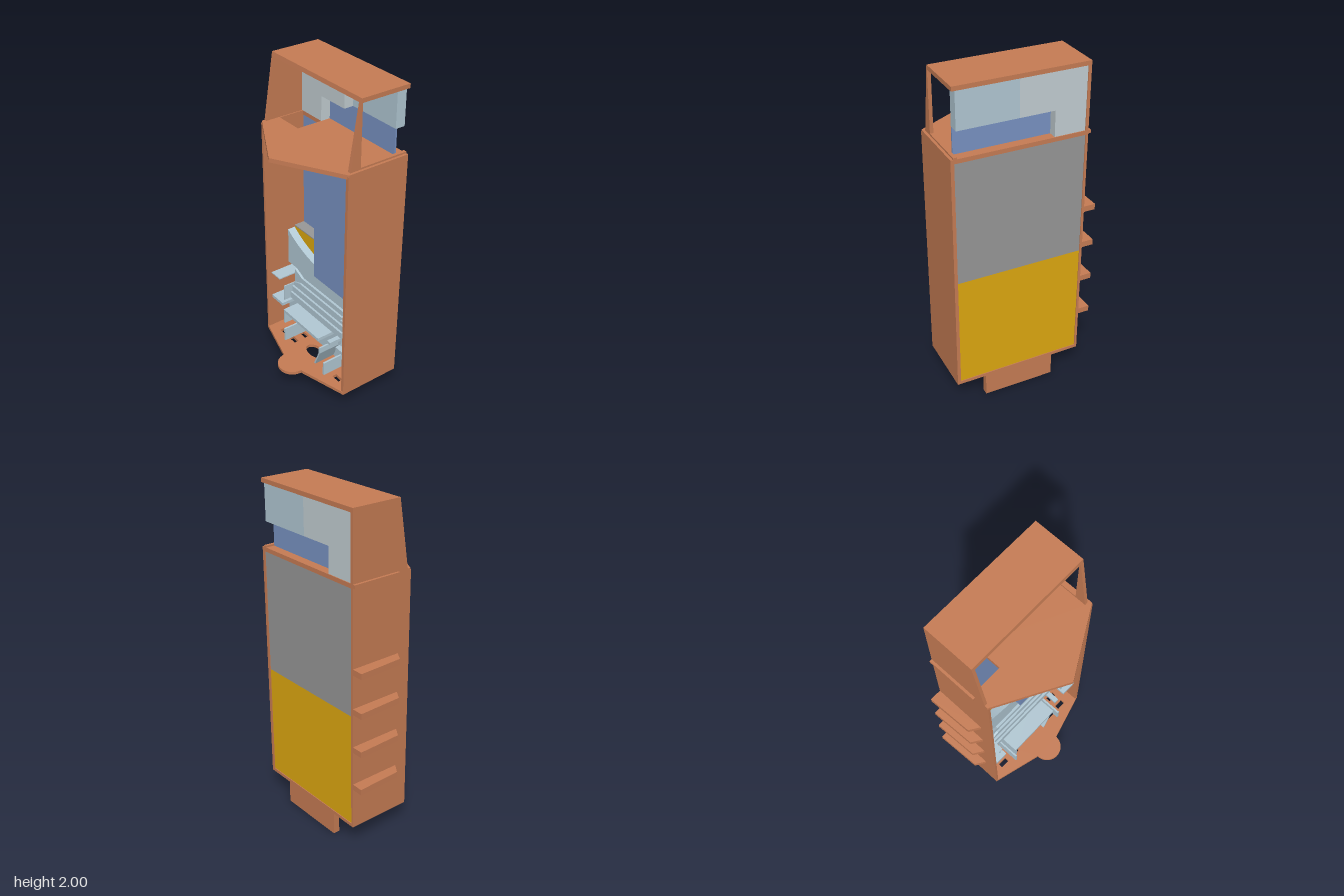
import * as THREE from 'three';

const mats = {};
const mat = (c) => (mats[c] ??= new THREE.MeshStandardMaterial({ color: c }));
const ORANGE = 0xc87d55, BLUE = 0x7a94c4, PALE = 0xb3cad6, MIST = 0xc5d0d4;
const YELLOW = 0xe0aa10, GREY = 0x999999, DARK = 0x707070;

const polygon = (pts) => new THREE.Shape(pts.map(([u, v]) => new THREE.Vector2(u, v)));
const rectangle = (x0, x1, y0, y1) => polygon([[x0, y0], [x1, y0], [x1, y1], [x0, y1]]);
const extrude = (shape, depth) =>
  new THREE.ExtrudeGeometry(shape, { depth, bevelEnabled: false, curveSegments: 20 });

export function createModel() {
  const model = new THREE.Group();
  const add = (name, color, geometry) => {
    const mesh = new THREE.Mesh(geometry, mat(color));
    mesh.name = name;
    model.add(mesh);
  };
  // box given by its limits on each axis
  const box = (name, color, x0, x1, y0, y1, z0, z1) =>
    add(name, color, new THREE.BoxGeometry(x1 - x0, y1 - y0, z1 - z0)
      .translate((x0 + x1) / 2, (y0 + y1) / 2, (z0 + z1) / 2));
  // upright plate, outline in x,y
  const front = (name, color, shape, z0, z1) =>
    add(name, color, extrude(shape, z1 - z0).translate(0, 0, z0));
  // level plate, outline in x,z
  const level = (name, color, shape, y0, y1) =>
    add(name, color, extrude(shape, y1 - y0).rotateX(Math.PI / 2).translate(0, y1, 0));
  // side plate, outline in z,y
  const side = (name, color, shape, x0, x1) =>
    add(name, color, extrude(shape, x1 - x0).rotateY(-Math.PI / 2).translate(x1, 0, 0));

  // case walls and rear foot
  box('rightWall', ORANGE, -0.36, -0.345, 0.14, 1.6, -0.305, 0.09);
  box('leftWall', ORANGE, 0.41, 0.43, 0.14, 1.6, -0.305, 0.09);
  box('rearFoot', ORANGE, -0.185, 0.25, 0, 0.14, -0.305, -0.265);

  // floor with rounded front tab, oval opening and slots
  const floor = new THREE.Shape();
  floor.moveTo(-0.36, -0.305);
  floor.lineTo(0.43, -0.305);
  floor.lineTo(0.43, 0.09);
  floor.lineTo(0.125, 0.175);
  floor.absarc(0.035, 0.175, 0.09, 0, Math.PI, false);
  floor.lineTo(-0.36, 0.09);
  floor.holes.push(new THREE.Path().absellipse(0.035, 0, 0.075, 0.045, 0, Math.PI * 2, true));
  for (const x of [-0.24, -0.14, 0.21, 0.31])
    for (const z of [-0.04, 0.04]) floor.holes.push(rectangle(x - 0.03, x + 0.03, z - 0.015, z + 0.015));
  level('floor', ORANGE, floor, 0.14, 0.16);

  // pointed canopy with an opening into the head
  const canopy = polygon([[-0.36, -0.305], [0.43, -0.305], [0.43, 0.085], [0.035, 0.305], [-0.36, 0.085]]);
  canopy.holes.push(rectangle(-0.335, -0.16, -0.18, -0.02));
  level('canopy', ORANGE, canopy, 1.585, 1.61);
  box('canopyLedge', ORANGE, -0.375, -0.36, 1.59, 1.61, -0.305, 0);

  // side shelves
  for (const y of [0.395, 0.635, 0.87, 1.105])
    level('sideShelf', ORANGE,
      polygon([[-0.36, -0.305], [-0.43, -0.305], [-0.42, -0.03], [-0.36, 0.01]]), y, y + 0.035);

  // head: roof, solid right cheek, open left cheek
  side('headRoof', ORANGE, polygon([[-0.305, 1.975], [0.009, 1.975], [0.005, 2], [-0.305, 2]]), -0.36, 0.415);
  side('headRightCheek', ORANGE,
    polygon([[-0.305, 1.61], [0.067, 1.61], [0.009, 1.975], [-0.305, 1.975]]), -0.36, -0.342);
  side('headLeftPost', ORANGE, polygon([[-0.305, 1.61], [0.067, 1.61], [0.009, 1.975],
    [0, 1.975], [0, 1.62], [-0.305, 1.62]]), 0.395, 0.415);

  // head back: stepped block, upper block and recessed sheet
  front('headSteppedBlock', MIST, polygon([[-0.342, 1.61], [-0.16, 1.61], [-0.16, 1.76],
    [0.045, 1.76], [0.045, 1.975], [-0.342, 1.975]]), -0.3, -0.18);
  box('headUpperBlock', PALE, 0.045, 0.395, 1.76, 1.975, -0.3, -0.24);
  box('headSheet', BLUE, -0.16, 0.395, 1.61, 1.76, -0.25, -0.24);

  // back panels and the blocks behind the front
  box('upperBackPanel', GREY, -0.345, 0.41, 0.85, 1.585, -0.3, -0.21);
  box('lowerCore', YELLOW, -0.345, 0.41, 0.16, 0.85, -0.3, -0.12);
  box('upperRightPanel', BLUE, -0.345, -0.01, 0.85, 1.585, -0.21, -0.19);
  box('upperLeftBlock', BLUE, -0.01, 0.41, 0.7, 1.585, -0.21, -0.02);
  box('handle', DARK, -0.075, -0.01, 1.33, 1.52, -0.19, -0.1);
  box('coreLedge', GREY, -0.345, -0.01, 0.848, 0.855, -0.19, -0.12);
  box('coreRib', YELLOW, -0.09, -0.01, 0.7, 0.85, -0.12, -0.11);

  // lower front panel with curved top and a side window at each edge
  const panel = new THREE.Shape();
  panel.moveTo(-0.345, 0.16);
  for (const [x, y] of [[0.41, 0.16], [0.41, 0.41], [0.325, 0.41], [0.325, 0.6], [0.41, 0.6],
    [0.41, 0.7], [-0.01, 0.7], [-0.01, 0.715]]) panel.lineTo(x, y);
  panel.quadraticCurveTo(-0.22, 0.745, -0.345, 0.84);
  for (const [x, y] of [[-0.345, 0.6], [-0.255, 0.6], [-0.255, 0.4], [-0.345, 0.4]]) panel.lineTo(x, y);
  front('lowerPanel', PALE, panel, -0.12, -0.07);

  // terraced steps, each lower one further forward
  const steps = [
    [[-0.255, 0.6], [-0.18, 0.565], [0.25, 0.565], [0.325, 0.6]],
    [[-0.255, 0.505], [-0.19, 0.53], [0.26, 0.53], [0.325, 0.505]],
    [[-0.255, 0.485], [0.325, 0.485]],
    [[-0.255, 0.445], [0.325, 0.445]],
  ];
  steps.forEach((top, i) => front('terraceStep', PALE,
    polygon([[-0.255, 0.4], ...top, [0.325, 0.4]].reverse()), -0.07, -0.055 + i * 0.013));

  // shelves and cheeks beside the windows
  box('rightUpperShelf', PALE, -0.345, -0.257, 0.565, 0.572, -0.12, 0.06);
  box('rightLowerShelf', PALE, -0.345, -0.23, 0.38, 0.4, -0.12, 0.06);
  box('leftUpperShelf', PALE, 0.325, 0.41, 0.6, 0.607, -0.12, 0.04);
  box('leftLowerShelf', PALE, 0.31, 0.41, 0.39, 0.41, -0.12, 0.06);
  box('rightCheek', PALE, -0.257, -0.25, 0.4, 0.505, -0.07, 0.03);
  box('leftCheek', PALE, 0.32, 0.327, 0.41, 0.505, -0.07, 0.03);

  // table, guides and slanted deflector
  box('tableTop', PALE, -0.175, 0.18, 0.38, 0.4, -0.07, 0.09);
  box('tableLeg', PALE, -0.175, -0.163, 0.3, 0.38, -0.07, 0.09);
  box('peg', PALE, 0.23, 0.26, 0.385, 0.405, -0.07, 0.06);
  box('rightGuide', PALE, -0.175, -0.163, 0.16, 0.25, -0.07, 0.09);
  box('leftGuide', PALE, 0.23, 0.242, 0.16, 0.25, -0.07, 0.09);
  front('deflector', PALE, polygon([[0.115, 0.16], [0.127, 0.16], [0.172, 0.27], [0.172, 0.31],
    [0.162, 0.31], [0.162, 0.27]]), -0.07, 0.07);

  return model;
}
